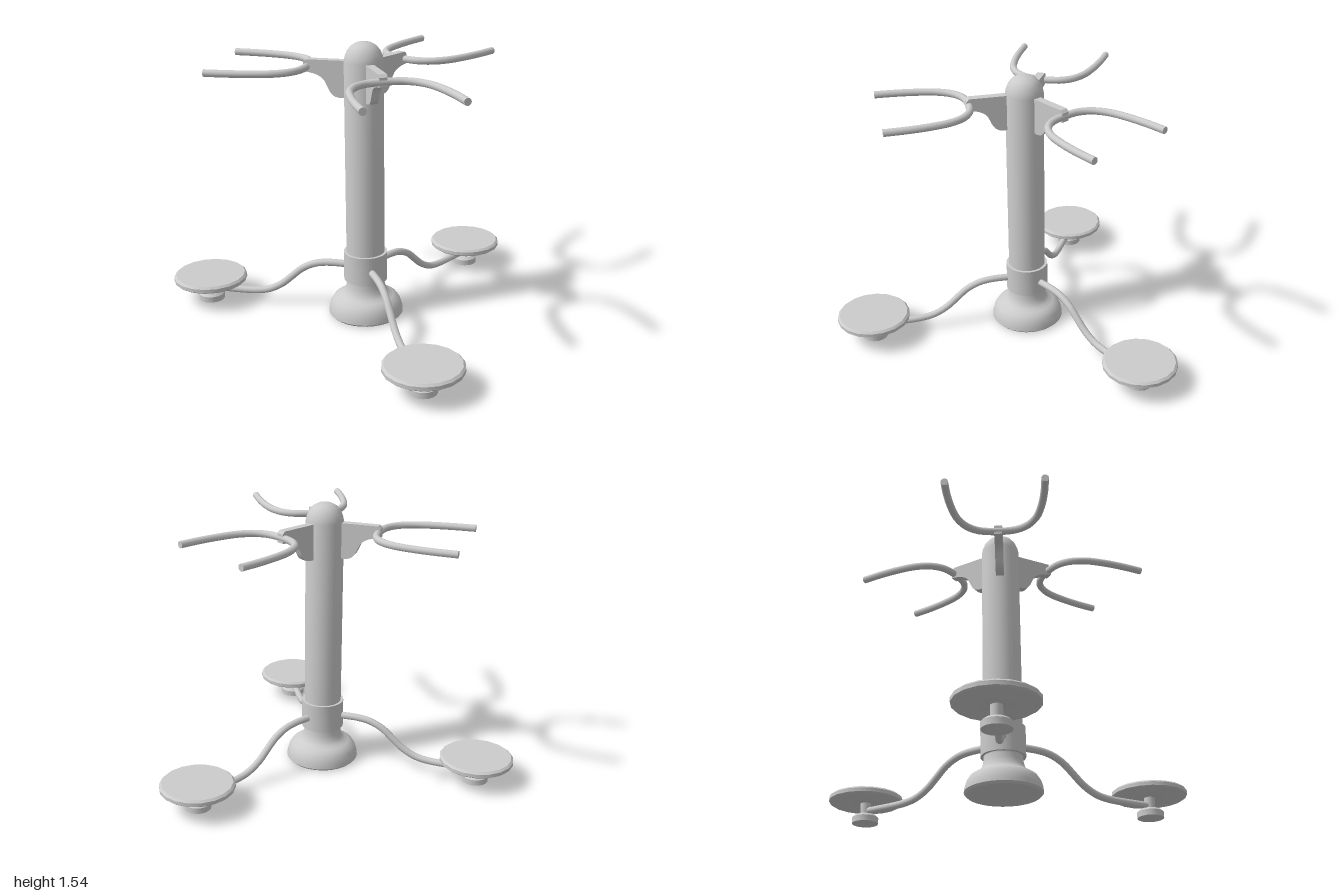
import * as THREE from 'three';
import { mergeGeometries, toCreasedNormals } from 'three/addons/utils/BufferGeometryUtils.js';

const grey = new THREE.MeshStandardMaterial({ color: 0xcccccc });

function part(name, geometry, parent) {
  const mesh = new THREE.Mesh(geometry, grey);
  mesh.name = name;
  parent.add(mesh);
  return mesh;
}

// Turned part from [radius, height] pairs, with sharp edges kept
function turned(profile, sides) {
  const points = profile.map(([r, y]) => new THREE.Vector2(r, y));
  return toCreasedNormals(new THREE.LatheGeometry(points, sides), 0.7);
}

// Round bar along a smooth curve, closed at both ends
function bar(points, radius, segments) {
  const curve = new THREE.CatmullRomCurve3(points.map(p => new THREE.Vector3(...p)), false, 'centripetal');
  const pieces = [new THREE.TubeGeometry(curve, segments, radius, 10)];
  for (const [t, sign] of [[0, -1], [1, 1]]) {
    const cap = new THREE.CircleGeometry(radius, 10);
    const out = curve.getTangent(t).multiplyScalar(sign);
    cap.applyQuaternion(new THREE.Quaternion().setFromUnitVectors(new THREE.Vector3(0, 0, 1), out));
    const end = curve.getPoint(t);
    cap.translate(end.x, end.y, end.z);
    pieces.push(cap);
  }
  return mergeGeometries(pieces);
}

// S-edged plate that carries the handle, reaching out along -z
function bracketGeometry() {
  const shape = new THREE.Shape();
  shape.moveTo(0.08, 1.44);
  shape.lineTo(0.08, 1.24);
  shape.lineTo(0.13, 1.24);
  shape.bezierCurveTo(0.18, 1.245, 0.185, 1.29, 0.205, 1.325);
  shape.bezierCurveTo(0.225, 1.36, 0.27, 1.37, 0.32, 1.375);
  shape.lineTo(0.32, 1.425);
  shape.lineTo(0.305, 1.44);
  shape.closePath();
  const thickness = 0.044;
  const geometry = new THREE.ExtrudeGeometry(shape, { depth: thickness, bevelEnabled: false, curveSegments: 6 });
  geometry.translate(0, 0, -thickness / 2);
  geometry.rotateY(Math.PI / 2);
  return toCreasedNormals(geometry, 0.6);
}

export function createModel() {
  const model = new THREE.Group();
  model.name = 'threeSeatTwister';
  const machine = new THREE.Group();
  machine.name = 'machine';
  machine.position.z = 0.225;
  model.add(machine);

  // Central column
  part('base', turned([[0, 0], [0.195, 0], [0.207, 0.012], [0.205, 0.035], [0.195, 0.068], [0.178, 0.095],
    [0.155, 0.11], [0.13, 0.122], [0.114, 0.145], [0.106, 0.175], [0.103, 0.21]], 32), machine);
  part('collar', turned([[0.1, 0.207], [0.12, 0.207], [0.12, 0.37], [0.1, 0.37]], 32), machine);
  part('post', turned([[0.105, 0.2], [0.105, 1.44], [0.1, 1.465], [0.088, 1.495], [0.068, 1.52],
    [0.04, 1.536], [0, 1.541]], 32), machine);

  // Shared geometries of the three stations
  const reach = 0.913;
  const arm = bar([[0, 0.28, -0.09], [0, 0.28, -0.22], [0, 0.268, -0.29], [0, 0.232, -0.365],
    [0, 0.18, -0.425], [0, 0.128, -0.485], [0, 0.088, -0.56], [0, 0.072, -0.64], [0, 0.07, -reach]], 0.02, 40);
  const half = [[0.05, -0.307], [0.11, -0.322], [0.165, -0.362], [0.209, -0.435], [0.236, -0.545],
    [0.25, -0.67], [0.254, -0.784]];
  const handle = bar([
    ...half.map(([x, z]) => [-x, 1.4, z]).reverse(),
    ...half.map(([x, z]) => [x, 1.4, z]),
  ], 0.02, 48);
  const disc = turned([[0, 0.115], [0.195, 0.115], [0.207, 0.124], [0.207, 0.144], [0.195, 0.155], [0, 0.155]], 18);
  const foot = turned([[0, 0], [0.073, 0], [0.073, 0.033], [0.058, 0.047], [0, 0.05]], 18);
  const spindle = new THREE.CylinderGeometry(0.029, 0.029, 0.08, 16).translate(0, 0.082, 0);
  const bracket = bracketGeometry();

  // Three stations around the column
  for (let i = 0; i < 3; i++) {
    const station = new THREE.Group();
    station.name = 'station' + (i + 1);
    station.rotation.y = i * Math.PI * 2 / 3;
    machine.add(station);
    part('arm', arm, station);
    part('bracket', bracket, station);
    part('handle', handle, station);
    part('standingDisc', disc, station).position.z = -reach;
    part('foot', foot, station).position.z = -reach;
    part('spindle', spindle, station).position.z = -reach;
  }
  return model;
}
